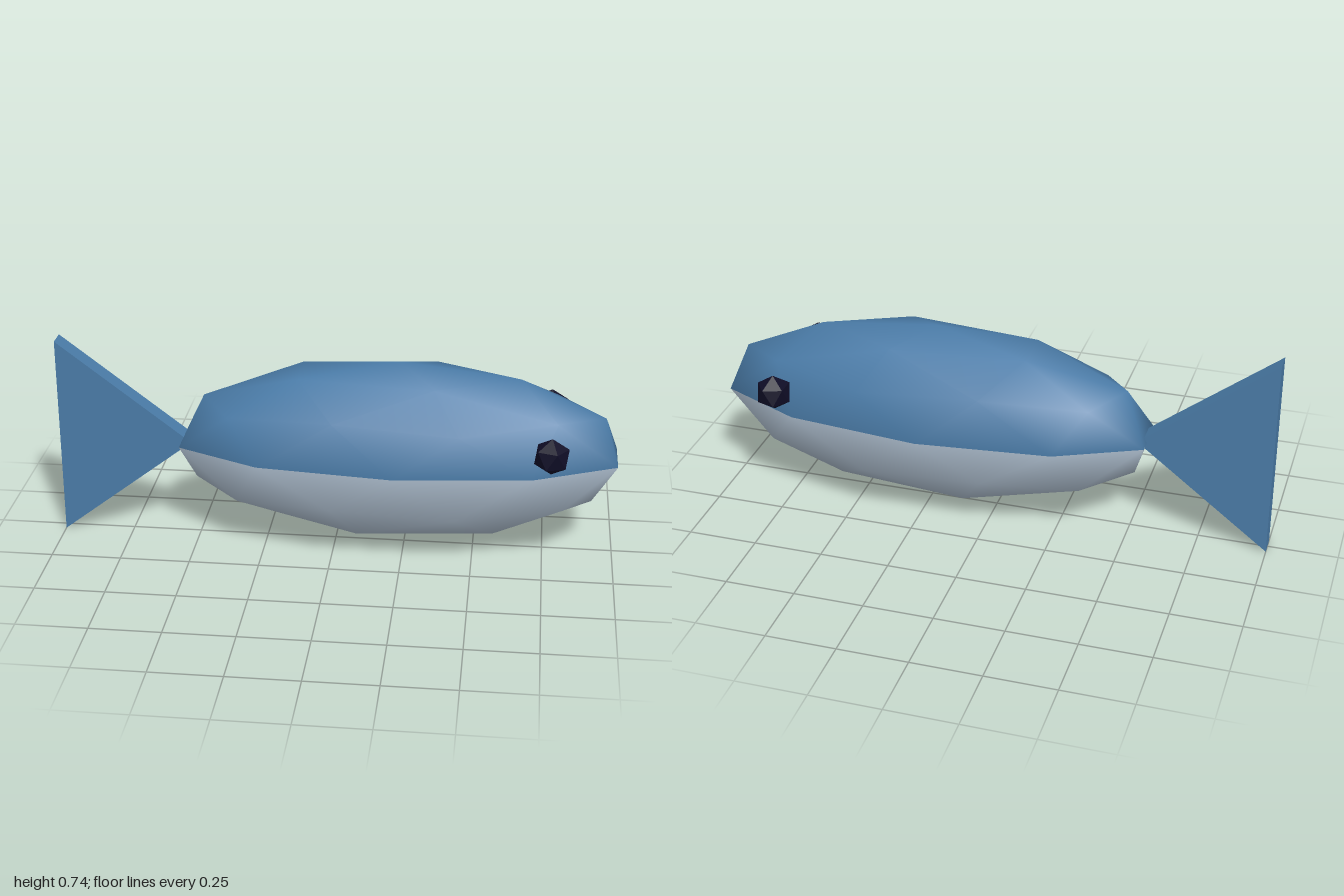
import * as THREE from 'three';

const blue = new THREE.MeshStandardMaterial({ color: 0x4a7ba7 });
blue.name = 'scale blue';
const grey = new THREE.MeshStandardMaterial({ color: 0xa8b8c8 });
grey.name = 'belly grey';
const dark = new THREE.MeshStandardMaterial({ color: 0x0f0d26 });
dark.name = 'eye black';

// Icosphere with its poles on the y axis
function icosphere(detail) {
  const v = [0, 1, 0, 0, -1, 0];
  const f = [];
  const h = 1 / Math.sqrt(5), r = 2 * h;
  for (let k = 0; k < 5; k++) {
    const a = k * Math.PI * 0.4, b = a + Math.PI * 0.2;
    v.push(r * Math.cos(a), h, r * Math.sin(a), r * Math.cos(b), -h, r * Math.sin(b));
    const u = 2 + 2 * k, l = u + 1;
    const u2 = 2 + 2 * ((k + 1) % 5), l2 = u2 + 1;
    f.push(0, u2, u, u, u2, l, l, u2, l2, l, l2, 1);
  }
  return new THREE.PolyhedronGeometry(v, f, 1, detail);
}

// Keep only the faces above (sign 1) or below (sign -1) the equator
function halfOf(geo, sign) {
  const p = geo.attributes.position, n = geo.attributes.normal;
  const pos = [], nor = [];
  for (let i = 0; i < p.count; i += 3) {
    if ((p.getY(i) + p.getY(i + 1) + p.getY(i + 2)) * sign <= 0) continue;
    for (let j = i; j < i + 3; j++) {
      pos.push(p.getX(j), p.getY(j), p.getZ(j));
      nor.push(n.getX(j), n.getY(j), n.getZ(j));
    }
  }
  const half = new THREE.BufferGeometry();
  half.setAttribute('position', new THREE.Float32BufferAttribute(pos, 3));
  half.setAttribute('normal', new THREE.Float32BufferAttribute(nor, 3));
  return half;
}

export function createModel() {
  const fish = new THREE.Group();
  fish.name = 'fish';
  const add = (name, geo, mat, x, y, z) => {
    const mesh = new THREE.Mesh(geo, mat);
    mesh.name = name;
    mesh.position.set(x, y, z);
    fish.add(mesh);
  };

  // Body: blue back over a pale belly
  const body = icosphere(1).scale(0.8175, 0.332, 0.273);
  add('back', halfOf(body, 1), blue, 0.222, 0.37, 0);
  add('belly', halfOf(body, -1), grey, 0.222, 0.37, 0);

  // Eyes
  for (const s of [1, -1]) {
    add(s > 0 ? 'rightEye' : 'leftEye', icosphere(0).scale(0.066, 0.066, 0.066), dark, 0.765, 0.463, s * 0.221);
  }

  // Tail fin: flat triangular slab
  const fin = new THREE.Shape([
    new THREE.Vector2(-1, 0),
    new THREE.Vector2(-0.52, 0.37),
    new THREE.Vector2(-1, 0.738),
  ]);
  add('tailFin', new THREE.ExtrudeGeometry(fin, { depth: 0.073, bevelEnabled: false }), blue, 0, 0, -0.0365);

  return fish;
}
